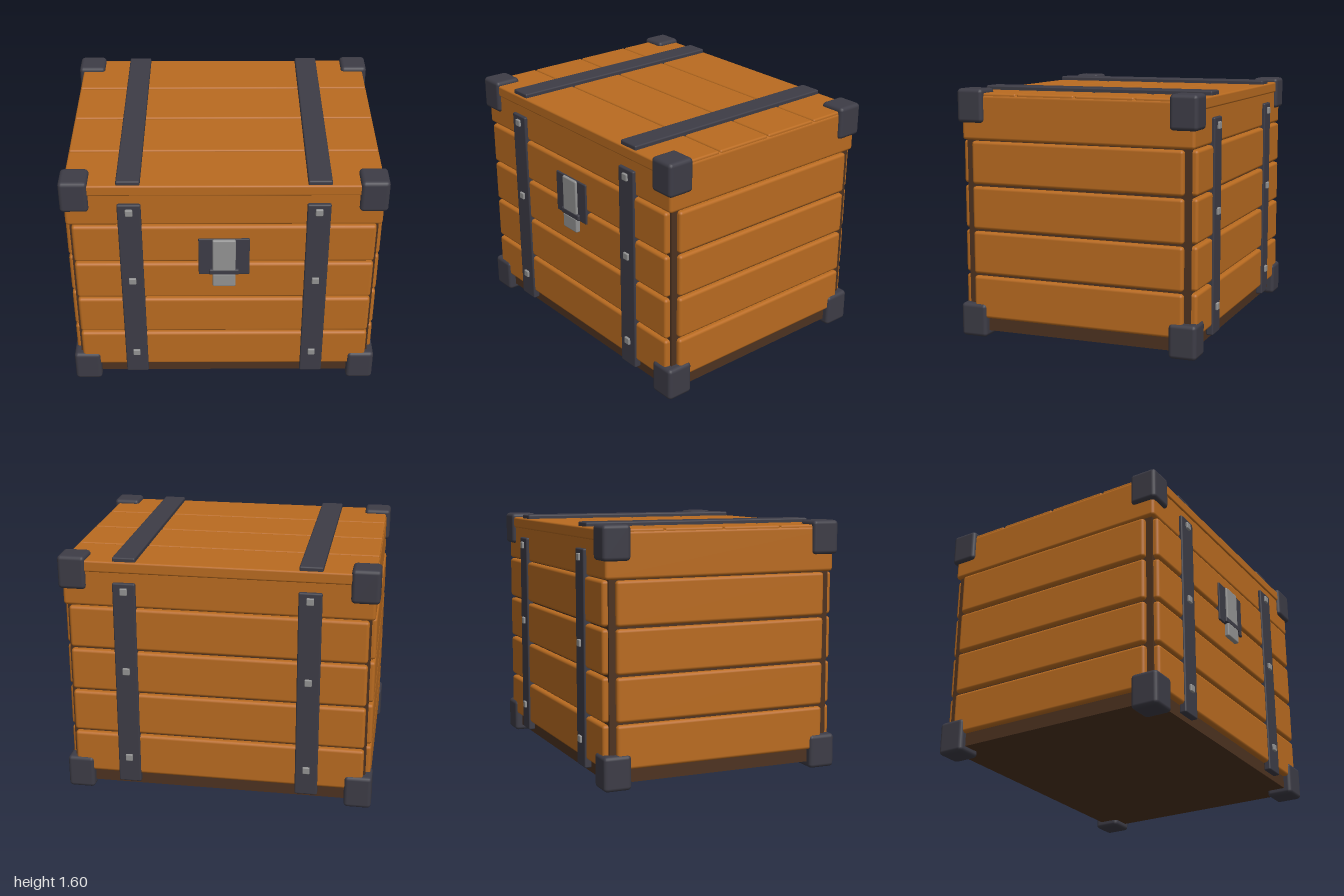
import * as THREE from 'three';
import { RoundedBoxGeometry } from 'three/addons/geometries/RoundedBoxGeometry.js';

const mat = (name, color) => new THREE.MeshStandardMaterial({ name, color });

export function createModel() {
  const wood = mat('wood', 0xb96b20);
  const darkWood = mat('darkWood', 0x4d3220);
  const iron = mat('iron', 0x3d3c46);
  const steel = mat('steel', 0x929292);
  const chest = new THREE.Group();
  chest.name = 'chest';

  // Rounded block given by its minimum and maximum on each axis
  function block(name, material, [x0, x1], [y0, y1], [z0, z1], radius = 0.018) {
    const w = x1 - x0, h = y1 - y0, d = z1 - z0;
    const geometry = radius > 0
      ? new RoundedBoxGeometry(w, h, d, 2, radius)
      : new THREE.BoxGeometry(w, h, d);
    const mesh = new THREE.Mesh(geometry, material);
    mesh.name = name;
    mesh.position.set((x0 + x1) / 2, (y0 + y1) / 2, (z0 + z1) / 2);
    chest.add(mesh);
  }
  // Range from a to b, mirrored to the other side when s is -1
  const side = (s, a, b) => (s > 0 ? [a, b] : [-b, -a]);

  // Dark inner box, showing in the gaps and at the base
  block('innerBox', darkWood, [-0.955, 0.955], [0.04, 1.3], [-0.75, 0.75], 0);

  // Four rows of planks around the body
  for (let row = 0; row < 4; row++) {
    const y = [0.125 + row * 0.29, 0.4 + row * 0.29];
    for (const s of [1, -1]) {
      block(s > 0 ? 'frontPlank' : 'backPlank', wood, [-0.942, 0.942], y, side(s, 0.7, 0.786), 0.02);
      block(s > 0 ? 'leftPlank' : 'rightPlank', wood, side(s, 0.9, 0.986), y, [-0.708, 0.708], 0.02);
    }
  }

  // Lid body and the planks on top of it
  block('lidBody', wood, [-0.977, 0.977], [1.275, 1.562], [-0.776, 0.776], 0.02);
  for (let i = 0; i < 4; i++) {
    const z = -0.786 + i * 0.393;
    block('lidPlank', wood, [-0.972, 0.972], [1.5, 1.573], [z + (i ? 0.004 : 0), z + (i < 3 ? 0.389 : 0.393)], 0.012);
  }

  for (const sx of [1, -1]) {
    // Iron straps across the lid, front and back
    const strapX = side(sx, 0.507, 0.653);
    block('lidStrap', iron, strapX, [1.55, 1.6], [-0.775, 0.775], 0.01);
    for (const sz of [1, -1]) {
      block(sz > 0 ? 'frontStrap' : 'backStrap', iron, strapX, [0.07, 1.44], side(sz, 0.75, 0.797), 0.01);
      for (const y of [0.245, 0.853, 1.387]) {
        block('rivet', steel, side(sx, 0.557, 0.603), [y - 0.023, y + 0.023], side(sz, 0.785, 0.811), 0.006);
      }
      // Iron corner caps
      for (const y of [[0, 0.218], [1.385, 1.6]]) {
        block('cornerCap', iron, side(sx, 0.824, 1), y, side(sz, 0.62, 0.799), 0.025);
      }
    }
  }

  // Latch on the front
  block('latchPlate', iron, [-0.16, 0.16], [0.905, 1.182], [0.75, 0.798], 0.006);
  block('latchHasp', steel, [-0.073, 0.073], [0.94, 1.18], [0.78, 0.812], 0.01);
  block('latchHinge', iron, [-0.095, 0.095], [0.91, 0.952], [0.78, 0.814], 0.01);
  block('latchTongue', steel, [-0.073, 0.073], [0.818, 0.918], [0.77, 0.815], 0.01);

  return chest;
}
